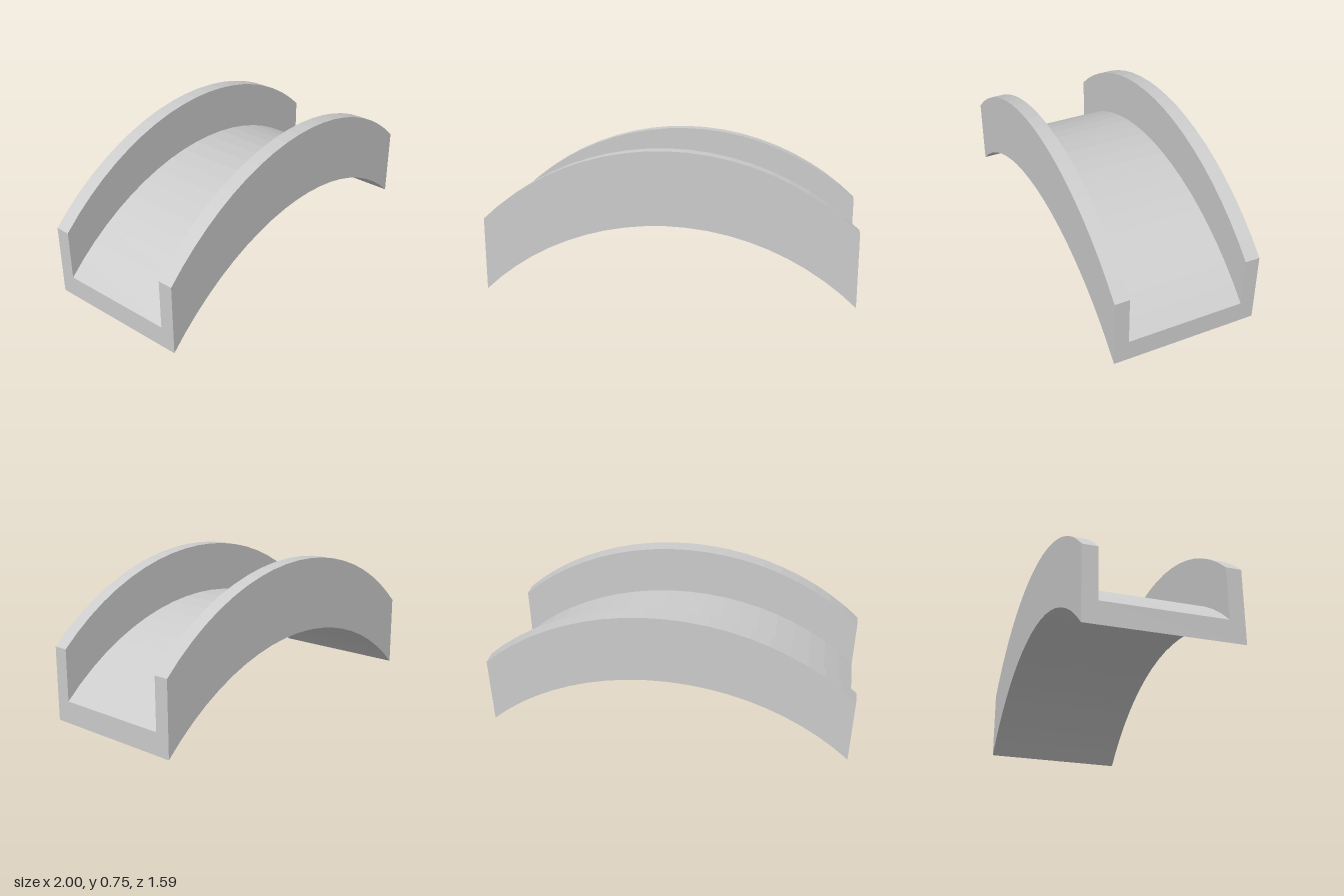
import * as THREE from 'three';

const LENGTH = 1.875, WIDTH = 0.75, RISE = 0.375, HEIGHT = 0.375;
const FLOOR = 0.1125, WALL = 0.075, SEGMENTS = 20;

export function createModel() {
  const group = new THREE.Group();
  group.name = 'archedBridge';

  // U-shaped cross-section: deck with a parapet on each side
  const w = WIDTH / 2, i = w - WALL;
  const section = new THREE.Shape([
    [-w, 0], [w, 0], [w, HEIGHT], [i, HEIGHT],
    [i, FLOOR], [-i, FLOOR], [-i, HEIGHT], [-w, HEIGHT],
  ].map(([x, y]) => new THREE.Vector2(x, y)));
  const geometry = new THREE.ExtrudeGeometry(section, {
    depth: 1, steps: SEGMENTS, bevelEnabled: false,
  });

  // Lift each section along a circular arc, keeping every section vertical
  const half = LENGTH / 2;
  const radius = (half * half + RISE * RISE) / (2 * RISE);
  const sweep = Math.asin(half / radius);
  const pos = geometry.attributes.position;
  for (let k = 0; k < pos.count; k++) {
    const a = (pos.getZ(k) * 2 - 1) * sweep;
    pos.setY(k, pos.getY(k) + radius * Math.cos(a) - (radius - RISE));
    pos.setZ(k, radius * Math.sin(a));
  }
  geometry.computeVertexNormals();

  const bridge = new THREE.Mesh(
    geometry,
    new THREE.MeshStandardMaterial({ color: 0xcccccc, flatShading: true }),
  );
  bridge.name = 'bridgeSpan';
  // The span runs diagonally, from front right to back left
  bridge.rotation.y = THREE.MathUtils.degToRad(120);
  group.add(bridge);
  return group;
}
